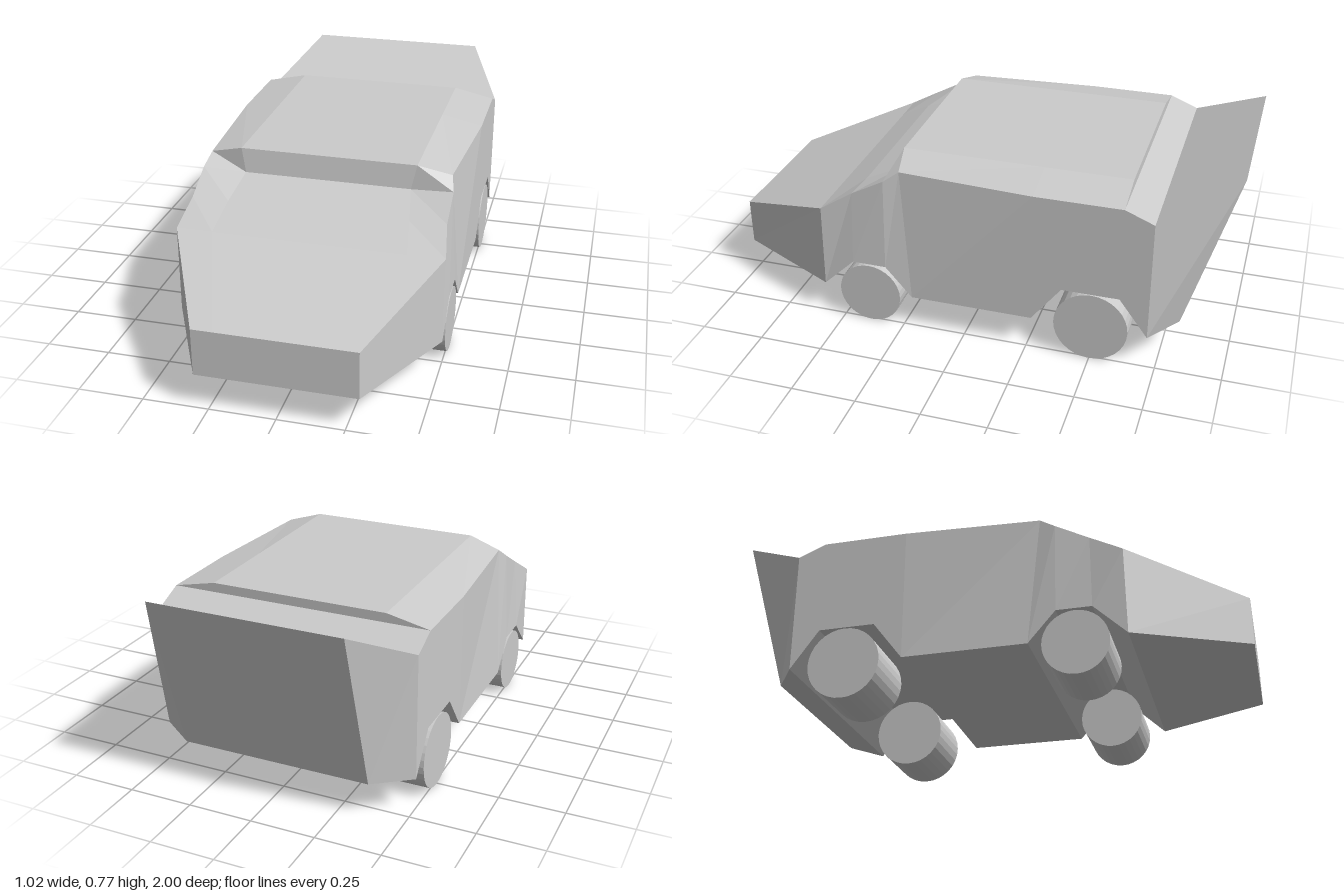
import * as THREE from 'three';

const material = new THREE.MeshStandardMaterial({ color: 0xcccccc, flatShading: true });

// Stations from nose to tail; each lists [x, y, z] of the sill, shoulder and roof corner
const STATIONS = [
  [[0.30, 0.14, 1.0], [0.30, 0.325, 1.0], [0.22, 0.325, 1.0]],          // nose
  [[0.51, 0.14, 0.575], [0.51, 0.48, 0.57], [0.37, 0.48, 0.57]],        // windscreen foot
  [[0.51, 0.26, 0.45], [0.49, 0.555, 0.445], [0.35, 0.55, 0.44]],       // front arch
  [[0.51, 0.26, 0.315], [0.49, 0.625, 0.315], [0.325, 0.61, 0.295]],    // windscreen top
  [[0.51, 0.14, 0.21], [0.475, 0.667, 0.255], [0.345, 0.703, 0.28]],    // roof front
  [[0.51, 0.14, -0.27], [0.51, 0.667, -0.27], [0.345, 0.703, -0.27]],
  [[0.51, 0.29, -0.385], [0.51, 0.667, -0.385], [0.345, 0.703, -0.385]], // rear arch
  [[0.51, 0.29, -0.605], [0.51, 0.667, -0.605], [0.345, 0.703, -0.605]],
  [[0.51, 0.29, -0.605], [0.51, 0.667, -0.605], [0.345, 0.667, -0.605]], // step at roof end
  [[0.51, 0.14, -0.715], [0.51, 0.622, -0.715], [0.345, 0.622, -0.715]],
  [[0.37, 0.14, -0.815], [0.37, 0.775, -1.0], [0.25, 0.775, -1.0]],     // raised tail
];

// Joins the mirrored stations into a closed shell
function shellGeometry(stations) {
  const rings = stations.map(([sill, shoulder, roof]) => {
    const right = ([x, y, z]) => new THREE.Vector3(-x, y, z);
    const left = (p) => new THREE.Vector3(...p);
    return [right(sill), left(sill), left(shoulder), left(roof), right(roof), right(shoulder)];
  });
  const positions = [];
  const tri = (a, b, c) => {
    if (new THREE.Triangle(a, b, c).getArea() < 1e-7) return;
    for (const p of [a, b, c]) positions.push(p.x, p.y, p.z);
  };
  for (let i = 0; i < rings.length - 1; i++) {
    const front = rings[i], back = rings[i + 1];
    for (let j = 0; j < 6; j++) {
      const k = (j + 1) % 6;
      tri(front[j], back[j], back[k]);
      tri(front[j], back[k], front[k]);
    }
  }
  const nose = rings[0], tail = rings[rings.length - 1];
  for (let j = 1; j < 5; j++) {
    tri(nose[0], nose[j], nose[j + 1]);
    tri(tail[0], tail[j + 1], tail[j]);
  }
  const geometry = new THREE.BufferGeometry();
  geometry.setAttribute('position', new THREE.Float32BufferAttribute(positions, 3));
  geometry.computeVertexNormals();
  return geometry;
}

export function createModel() {
  const group = new THREE.Group();
  group.name = 'car';

  const body = new THREE.Mesh(shellGeometry(STATIONS), material);
  body.name = 'body';
  group.add(body);

  // Wide wheels, the rear pair slightly larger
  const axles = [
    { name: 'front', radius: 0.125, y: 0.127, z: 0.385 },
    { name: 'rear', radius: 0.142, y: 0.144, z: -0.5 },
  ];
  for (const { name, radius, y, z } of axles) {
    const geometry = new THREE.CylinderGeometry(radius, radius, 0.255, 32).rotateZ(Math.PI / 2);
    for (const side of [1, -1]) {
      const wheel = new THREE.Mesh(geometry, material);
      wheel.name = name + (side > 0 ? 'LeftWheel' : 'RightWheel');
      wheel.position.set(side * 0.3825, y, z);
      group.add(wheel);
    }
  }
  return group;
}
